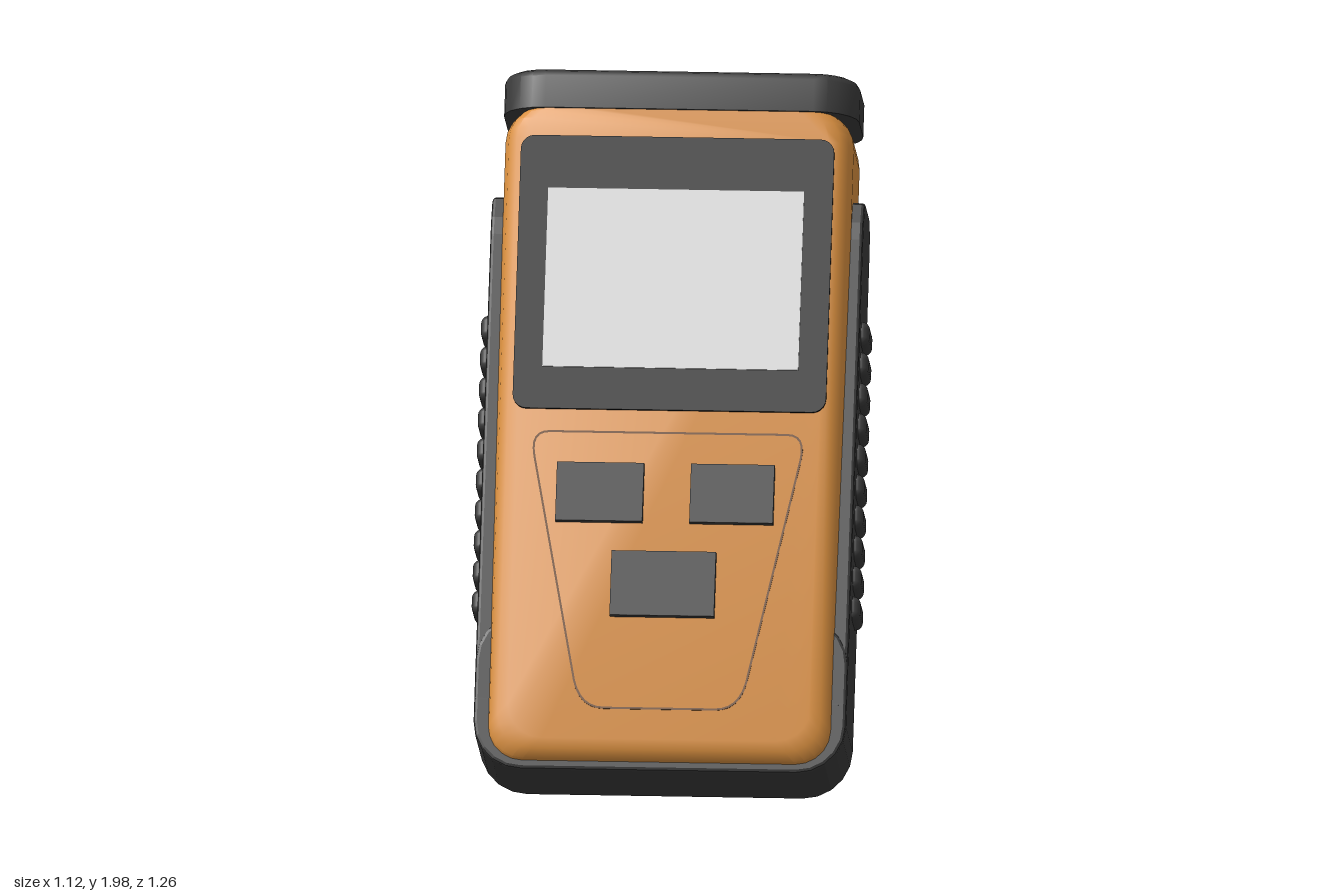
import * as THREE from 'three';
import { toCreasedNormals } from 'three/addons/utils/BufferGeometryUtils.js';
import { RoundedBoxGeometry } from 'three/addons/geometries/RoundedBoxGeometry.js';

const paint = (name, color) => {
  const m = new THREE.MeshStandardMaterial({ color });
  m.name = name;
  return m;
};

// Counter-clockwise outline of a rounded rectangle
function roundRect(hw, y0, y1, r, n = 5) {
  const pts = [];
  const centres = [[hw - r, y1 - r], [-hw + r, y1 - r], [-hw + r, y0 + r], [hw - r, y0 + r]];
  centres.forEach(([cx, cy], q) => {
    for (let i = 0; i <= n; i++) {
      const a = (q + i / n) * Math.PI / 2;
      pts.push(new THREE.Vector2(cx + r * Math.cos(a), cy + r * Math.sin(a)));
    }
  });
  return pts;
}

// Skin over outlines stacked along z, with optional end caps
function loft(rings, capStart = true, capEnd = true) {
  const pos = [], idx = [], n = rings[0].pts.length;
  rings.forEach(({ pts, z }) => pts.forEach(p => pos.push(p.x, p.y, z)));
  for (let k = 0; k < rings.length - 1; k++) {
    for (let i = 0; i < n; i++) {
      const a = k * n + i, b = k * n + (i + 1) % n;
      idx.push(a, b, b + n, a, b + n, a + n);
    }
  }
  const last = (rings.length - 1) * n;
  for (let i = 1; i < n - 1; i++) {
    if (capStart) idx.push(0, i + 1, i);
    if (capEnd) idx.push(last, last + i, last + i + 1);
  }
  const g = new THREE.BufferGeometry();
  g.setAttribute('position', new THREE.Float32BufferAttribute(pos, 3));
  g.setIndex(idx);
  return toCreasedNormals(g, 0.6);
}

function extrude(shape, depth, bevel = 0) {
  return new THREE.ExtrudeGeometry(shape, {
    depth, bevelEnabled: bevel > 0, bevelSize: bevel, bevelThickness: bevel, bevelSegments: 2, curveSegments: 6
  });
}

export function createModel() {
  const orange = paint('orange plastic', 0xda9040);
  const dark = paint('dark rubber', 0x3b3b3b);
  const black = paint('black bezel', 0x0c0c0c);
  const pale = paint('pale grey', 0xdedede);
  const brown = paint('seam brown', 0x6e451c);

  const device = new THREE.Group();
  device.name = 'handheldMeter';
  const add = (name, geo, mat, x = 0, y = 0, z = 0) => {
    const m = new THREE.Mesh(geo, mat);
    m.name = name;
    m.position.set(x, y, z);
    device.add(m);
    return m;
  };

  // Body shell: rounded outlines from back to front
  const back = 0.255, front = 0.67;
  const outline = inset => roundRect(0.5 - inset, -0.135 + inset, 1.8, 0.1);
  const bodyRings = [[back, 0.085], [0.267, 0.05], [0.295, 0.015], [0.34, 0], [0.6, 0],
    [0.64, 0.012], [0.662, 0.036], [front, 0.065]];
  add('body', loft(bodyRings.map(([z, s]) => ({ pts: outline(s), z })), false, true), orange);

  // Back face with an opening for the battery recess
  const opening = roundRect(0.3, 0.05, 1.24, 0.02);
  const backShape = new THREE.Shape(outline(0.085));
  backShape.holes.push(new THREE.Path(opening));
  add('backFace', new THREE.ShapeGeometry(backShape), orange, 0, 0, back).rotation.y = Math.PI;
  add('batteryRecess', loft([
    { pts: roundRect(0.27, 0.075, 0.99, 0.02), z: 0.295 },
    { pts: roundRect(0.28, 0.067, 1.08, 0.02), z: 0.285 },
    { pts: opening, z: back }
  ], true, false), orange);
  add('batteryDoorSeam', new THREE.BoxGeometry(0.53, 0.9, 0.004), brown, 0, 0.533, 0.295);
  add('batteryDoor', new THREE.BoxGeometry(0.518, 0.888, 0.008), orange, 0, 0.533, 0.294);
  add('backLabel', new THREE.BoxGeometry(0.56, 0.42, 0.008), pale, 0, 1.45, back);

  // Screws at the back corners
  for (const x of [-0.41, 0.41]) {
    for (const y of [-0.01, 1.745]) {
      add('screwWell', new THREE.CylinderGeometry(0.032, 0.032, 0.016, 16), brown, x, y, 0.262).rotation.x = Math.PI / 2;
      add('screw', new THREE.SphereGeometry(0.024, 14, 8), pale, x, y, 0.262);
    }
  }

  // End cap with bevelled rim and a groove around its lid
  const mid = 0.465;
  const capRings = [[1.788, 0], [1.882, 0], [1.897, 0.009], [1.905, 0.026], [1.905, 0.036], [1.897, 0.039], [1.897, 0.043], [1.905, 0.046]];
  const cap = loft(capRings.map(([z, s]) => ({
    pts: roundRect(0.51 - s, -0.213 + s, 0.213 - s, 0.125 - s), z
  })));
  cap.rotateX(-Math.PI / 2);
  add('endCap', cap, dark, 0, 0, mid);

  // Bottom bumper wrapping the body
  add('bottomBumper', extrude(new THREE.Shape(roundRect(0.525, -0.142, 0.3, 0.13)), 0.295, 0.01), dark, 0, 0, 0.323);

  // Side grips with ribs, mirrored
  const gripProfile = [[0.322, 0.06], [0.317, 1.46], [0.325, 1.5], [0.355, 1.54], [0.39, 1.545],
    [0.53, 1.545], [0.56, 1.535], [0.583, 1.48], [0.59, 1.43], [0.618, 0.06]];
  for (const s of [-1, 1]) {
    const shape = new THREE.Shape(gripProfile.map(([w, v]) => new THREE.Vector2(-s * w, v)));
    const g = extrude(shape, 0.055, 0.01);
    g.rotateY(s * Math.PI / 2);
    add(s > 0 ? 'leftGrip' : 'rightGrip', g, dark, s * 0.47);
    for (let i = 0; i < 10; i++) {
      add('gripRib', new RoundedBoxGeometry(0.05, 0.07, 0.16, 3, 0.022), dark, s * 0.533, 0.36 + i * 0.09, 0.47);
    }
  }

  // Display
  add('bezel', extrude(new THREE.Shape(roundRect(0.45, 0.9, 1.705, 0.04)), 0.009), black, 0, 0, front);
  add('screen', new THREE.BoxGeometry(0.735, 0.527, 0.006), pale, 0, 1.286, front + 0.01);

  // Keypad outline: a thin tapered seam
  const keypad = d => {
    const s = new THREE.Shape();
    s.moveTo(-0.34, 0.837 - d);
    s.lineTo(0.34, 0.837 - d);
    s.quadraticCurveTo(0.4 - d, 0.837 - d, 0.385 - d, 0.76);
    s.lineTo(0.25 - d, 0.1);
    s.quadraticCurveTo(0.23 - d, 0.018 + d, 0.16, 0.018 + d);
    s.lineTo(-0.16, 0.018 + d);
    s.quadraticCurveTo(-0.23 + d, 0.018 + d, -0.25 + d, 0.1);
    s.lineTo(-0.385 + d, 0.76);
    s.quadraticCurveTo(-0.4 + d, 0.837 - d, -0.34, 0.837 - d);
    return s;
  };
  const seam = keypad(0);
  seam.holes.push(keypad(0.006));
  add('keypadSeam', extrude(seam, 0.002), brown, 0, 0, front);

  // Buttons
  for (const [x, y, w, h] of [[-0.19, 0.653, 0.25, 0.172], [0.19, 0.653, 0.24, 0.172], [0, 0.385, 0.3, 0.19]]) {
    add('button', new THREE.BoxGeometry(w, h, 0.05), dark, x, y, front);
  }

  // Lean the whole device back
  device.rotation.x = THREE.MathUtils.degToRad(-27);
  const model = new THREE.Group();
  model.name = 'model';
  model.add(device);
  return model;
}
